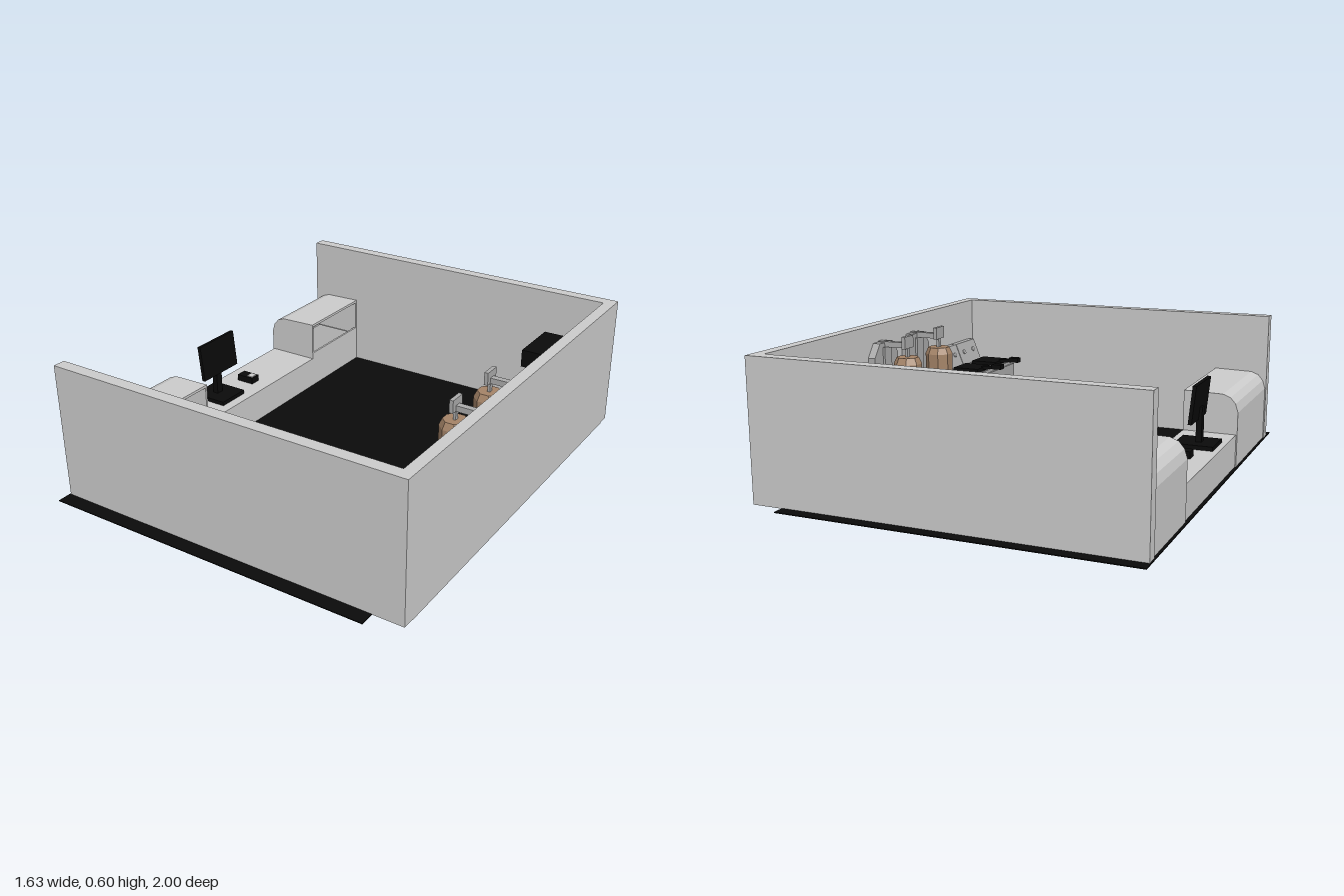
import * as THREE from 'three';

const mat = (name, color) => {
  const m = new THREE.MeshStandardMaterial({ color, flatShading: true });
  m.name = name;
  return m;
};

export function createModel() {
  const root = new THREE.Group();
  root.name = 'foodCounterRoom';
  const pale = mat('paleGrey', 0xcccccc);
  const steel = mat('steelGrey', 0xacacac);
  const black = mat('black', 0x0a0a0a);
  const brown = mat('brown', 0xa58468);

  const add = (parent, name, geo, m) => {
    const mesh = new THREE.Mesh(geo, m);
    mesh.name = name;
    parent.add(mesh);
    return mesh;
  };
  // Box given by its limits on each axis
  const box = (parent, name, m, x0, x1, y0, y1, z0, z1) => {
    const b = add(parent, name, new THREE.BoxGeometry(x1 - x0, y1 - y0, z1 - z0), m);
    b.position.set((x0 + x1) / 2, (y0 + y1) / 2, (z0 + z1) / 2);
    return b;
  };
  // Outline in x and y, extruded from z0 to z1
  const prism = (parent, name, m, pts, z0, z1) => {
    const shape = new THREE.Shape(pts.map(p => new THREE.Vector2(...p)));
    const g = new THREE.ExtrudeGeometry(shape, { depth: z1 - z0, bevelEnabled: false });
    g.translate(0, 0, z0);
    return add(parent, name, g, m);
  };
  const group = (name) => {
    const g = new THREE.Group();
    g.name = name;
    root.add(g);
    return g;
  };

  // Floor and three walls
  box(root, 'floor', black, -0.82, 0.68, 0.001, 0.005, -1, 1);
  box(root, 'frontWall', pale, -0.815, 0.815, 0.003, 0.6, 0.883, 0.937);
  box(root, 'backWall', pale, -0.815, 0.815, 0.003, 0.6, -0.95, -0.896);
  box(root, 'sideWall', pale, 0.765, 0.815, 0, 0.6, -0.896, 0.883);

  // Service counter on the open side
  const service = group('serviceCounter');
  box(service, 'counter', pale, -0.805, -0.565, 0.003, 0.15, -0.49, 0.32);

  // Display cases with a curved outer edge, open toward the staff
  const hood = [[-0.81, 0.15], [-0.81, 0.25], [-0.798, 0.288], [-0.775, 0.315], [-0.74, 0.328], [-0.565, 0.332]];
  const inner = [[-0.565, 0.32], [-0.74, 0.316], [-0.767, 0.304], [-0.787, 0.282], [-0.798, 0.25], [-0.798, 0.15]];
  for (const [z0, z1] of [[-0.896, -0.49], [0.32, 0.883]]) {
    const c = group('displayCase');
    box(c, 'caseBase', pale, -0.81, -0.565, 0, 0.15, z0, z1);
    prism(c, 'hood', pale, [...hood, ...inner], z0, z1);
    for (const z of [z0, z1 - 0.01])
      prism(c, 'endPanel', pale, [...hood, [-0.565, 0.15]], z, z + 0.01);
    box(c, 'tray', steel, -0.78, -0.59, 0.15, 0.158, z0 + 0.03, z1 - 0.03);
    box(c, 'trayLip', pale, -0.575, -0.565, 0.15, 0.18, z0 + 0.01, z1 - 0.01);
  }

  // Cash register
  const reg = group('register');
  box(reg, 'registerBase', black, -0.78, -0.61, 0.15, 0.168, 0.01, 0.165);
  box(reg, 'registerStem', black, -0.715, -0.69, 0.168, 0.32, 0.07, 0.105);
  const screen = box(reg, 'screen', black, -0.708, -0.692, 0.265, 0.43, -0.04, 0.195);
  screen.rotation.z = 0.1;

  // Card reader
  const reader = group('cardReader');
  box(reader, 'readerBody', black, -0.725, -0.64, 0.15, 0.18, -0.14, -0.09);
  box(reader, 'receipt', pale, -0.675, -0.645, 0.18, 0.184, -0.132, -0.098);

  // Work counter along the side wall with doors and knobs
  const work = group('workCounter');
  box(work, 'workTop', pale, 0.495, 0.765, 0, 0.17, -0.896, 0.883);
  for (const [z0, z1] of [[-0.88, -0.42], [-0.41, -0.02], [-0.01, 0.39], [0.4, 0.63], [0.64, 0.87]]) {
    box(work, 'door', pale, 0.49, 0.495, 0.02, 0.155, z0, z1);
    const zc = (z0 + z1) / 2;
    box(work, 'doorHandle', black, 0.482, 0.49, 0.11, 0.12, zc - 0.018, zc + 0.018);
  }

  // Coffee machine
  const coffee = group('coffeeMachine');
  box(coffee, 'machineBase', black, 0.53, 0.7, 0.17, 0.2, -0.8, -0.55);
  box(coffee, 'machineBody', black, 0.6, 0.7, 0.2, 0.36, -0.8, -0.55);
  box(coffee, 'machineHead', black, 0.535, 0.69, 0.36, 0.44, -0.8, -0.55);
  box(coffee, 'spout', black, 0.52, 0.56, 0.32, 0.36, -0.7, -0.65);
  for (const z of [-0.81, -0.54]) {
    box(coffee, 'frameArm', black, 0.66, 0.762, 0.44, 0.46, z - 0.012, z + 0.012);
    box(coffee, 'framePost', black, 0.73, 0.76, 0.17, 0.48, z - 0.012, z + 0.012);
  }
  box(coffee, 'rail', pale, 0.7, 0.73, 0.43, 0.445, -0.798, -0.552);

  // Wooden box
  const crate = group('woodenBox');
  box(crate, 'crate', brown, 0.5, 0.58, 0.17, 0.25, -0.888, -0.805);
  box(crate, 'crateLid', brown, 0.518, 0.562, 0.25, 0.256, -0.87, -0.823);

  box(root, 'napkinHolder', pale, 0.568, 0.612, 0.17, 0.23, -0.26, -0.178);

  // Two drink dispensers
  for (const z of [-0.06, 0.235]) {
    const d = group('dispenser');
    const foot = add(d, 'foot', new THREE.CylinderGeometry(0.085, 0.1, 0.035, 6), steel);
    foot.position.set(0.617, 0.188, z);
    const jar = add(d, 'jar', new THREE.LatheGeometry([[0, 0.21], [0.04, 0.21], [0.048, 0.25], [0.062, 0.28],
      [0.064, 0.43], [0.05, 0.46], [0, 0.46]].map(p => new THREE.Vector2(...p)), 8, Math.PI / 8), brown);
    jar.position.set(0.617, 0, z);
    // Back plate with sloped shoulders and a raised rib
    const plate = prism(d, 'backPlate', steel, [[-0.1, 0.17], [0.1, 0.17], [0.1, 0.46], [0.055, 0.52], [-0.055, 0.52], [-0.1, 0.46]], 0, 0.035);
    plate.rotation.y = -Math.PI / 2;
    plate.position.set(0.762, 0, z);
    box(d, 'rib', steel, 0.717, 0.727, 0.17, 0.5, z - 0.03, z + 0.03);
    box(d, 'arm', steel, 0.615, 0.762, 0.5, 0.525, z - 0.014, z + 0.014);
    box(d, 'stirrer', steel, 0.612, 0.624, 0.46, 0.51, z - 0.01, z + 0.01);
    box(d, 'armHead', steel, 0.608, 0.625, 0.5, 0.555, z - 0.038, z + 0.038);
  }

  // Two fryers with baskets
  for (const z of [0.533, 0.737]) {
    const f = group('fryer');
    box(f, 'fryerBody', steel, 0.5, 0.7, 0.17, 0.285, z - 0.1, z + 0.1);
    prism(f, 'controlPanel', steel, [[0.695, 0.17], [0.762, 0.17], [0.762, 0.4], [0.735, 0.4], [0.695, 0.3]], z - 0.1, z + 0.1);
    for (const s of [-1, 1]) {
      box(f, 'basinRimSide', steel, 0.515, 0.675, 0.285, 0.3, z + s * 0.078 - 0.006, z + s * 0.078 + 0.006);
      const knob = add(f, 'dial', new THREE.CylinderGeometry(0.011, 0.011, 0.012, 8), pale);
      knob.position.set(0.715, 0.355, z + s * 0.05);
      knob.rotation.z = 1.19;
    }
    box(f, 'basinRimFront', steel, 0.509, 0.521, 0.285, 0.3, z - 0.084, z + 0.084);
    box(f, 'basinRimBack', steel, 0.669, 0.681, 0.285, 0.3, z - 0.084, z + 0.084);
    box(f, 'basket', black, 0.528, 0.662, 0.285, 0.315, z - 0.067, z + 0.067);
    const handle = box(f, 'basketHandle', black, 0.43, 0.535, 0.31, 0.326, z - 0.01, z + 0.01);
    handle.rotation.z = -0.1;
    box(f, 'handleGrip', black, 0.425, 0.475, 0.312, 0.335, z - 0.018, z + 0.018);
    box(f, 'fryerKnob', black, 0.488, 0.5, 0.22, 0.235, z - 0.01, z + 0.01);
  }

  // Folding floor sign
  prism(root, 'floorSign', pale, [[0.35, 0], [0.43, 0], [0.402, 0.15], [0.378, 0.15]], 0.47, 0.605);

  return root;
}
